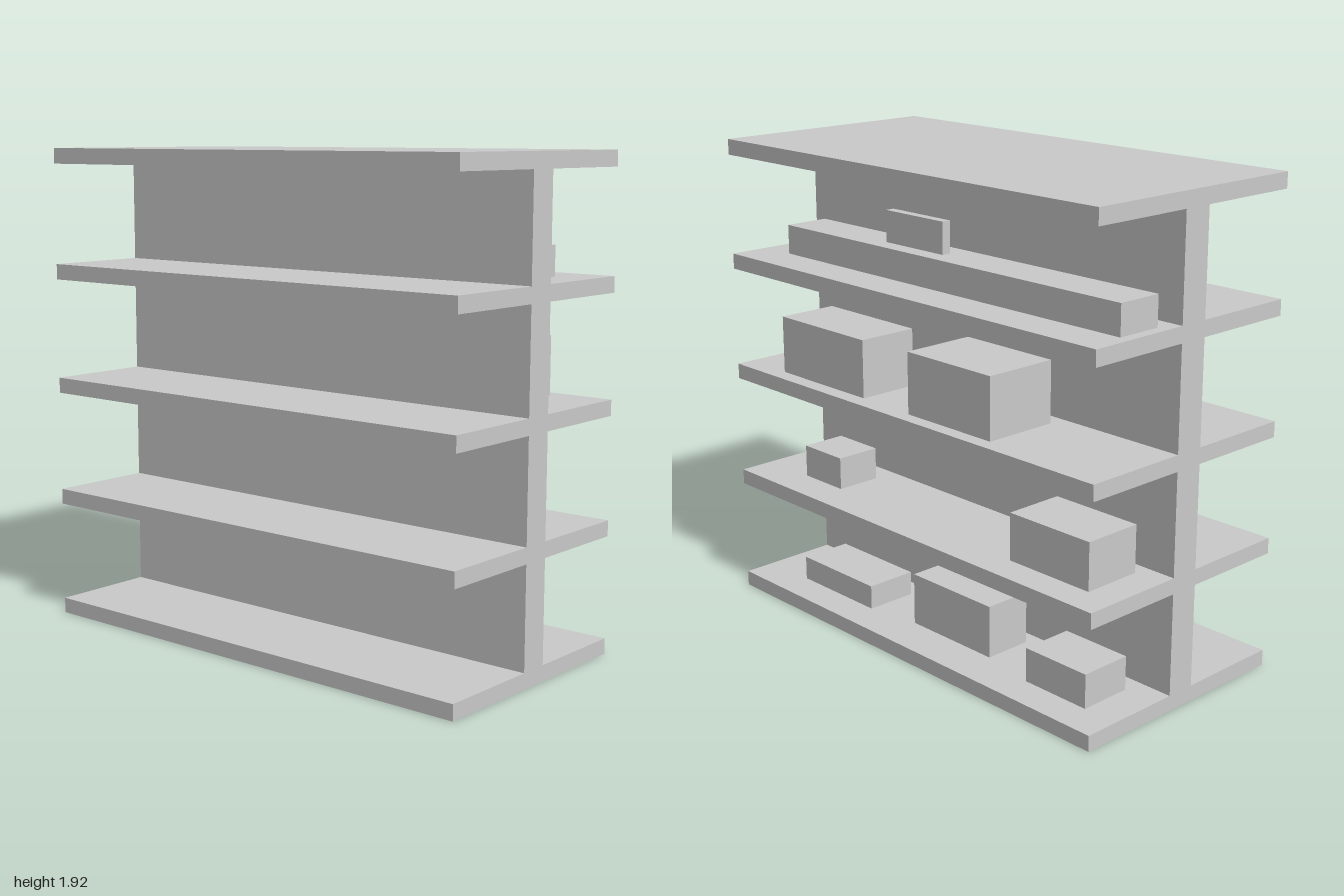
import * as THREE from 'three';

const material = new THREE.MeshStandardMaterial({ color: 0xcccccc, flatShading: true });

// Box given by its extents on each axis
function block(name, [x0, x1], [y0, y1], [z0, z1]) {
  const mesh = new THREE.Mesh(new THREE.BoxGeometry(x1 - x0, y1 - y0, z1 - z0), material);
  mesh.name = name;
  mesh.position.set((x0 + x1) / 2, (y0 + y1) / 2, (z0 + z1) / 2);
  return mesh;
}

export function createModel() {
  const model = new THREE.Group();
  model.name = 'doubleSidedShelf';

  const thickness = 0.062;
  const spacing = 0.4635;
  const shelfCount = 5;
  const top = (level) => level * spacing + thickness;

  // Shelf boards, with a central divider panel filling each gap
  for (let i = 0; i < shelfCount; i++) {
    model.add(block('shelf', [-0.49, 0.49], [i * spacing, top(i)], [-1, 1]));
    if (i < shelfCount - 1) {
      model.add(block('divider', [-0.06, 0.06], [top(i), (i + 1) * spacing], [-1, 1]));
    }
  }

  // Goods on the left side: shelf level, x range, top height, z range
  const goods = [
    [0, [0.142, 0.355], 0.16, [0.335, 0.765]],
    [0, [0.12, 0.317], 0.272, [-0.32, 0.112]],
    [0, [0.14, 0.355], 0.197, [-0.855, -0.556]],
    [1, [0.156, 0.342], 0.657, [0.53, 0.755]],
    [1, [0.122, 0.366], 0.712, [-0.872, -0.48]],
    [2, [0.173, 0.425], 1.221, [0.268, 0.77]],
    [2, [0.126, 0.432], 1.232, [-0.445, -0.002]],
    [3, [0.138, 0.325], 1.57, [-0.956, 0.845]],
  ];
  for (const [level, x, height, z] of goods) {
    model.add(block('storedBox', x, [top(level), height], z));
  }

  // Narrow box standing on the long one
  model.add(block('stackedBox', [0.218, 0.255], [1.57, 1.695], [-0.005, 0.315]));

  return model;
}
